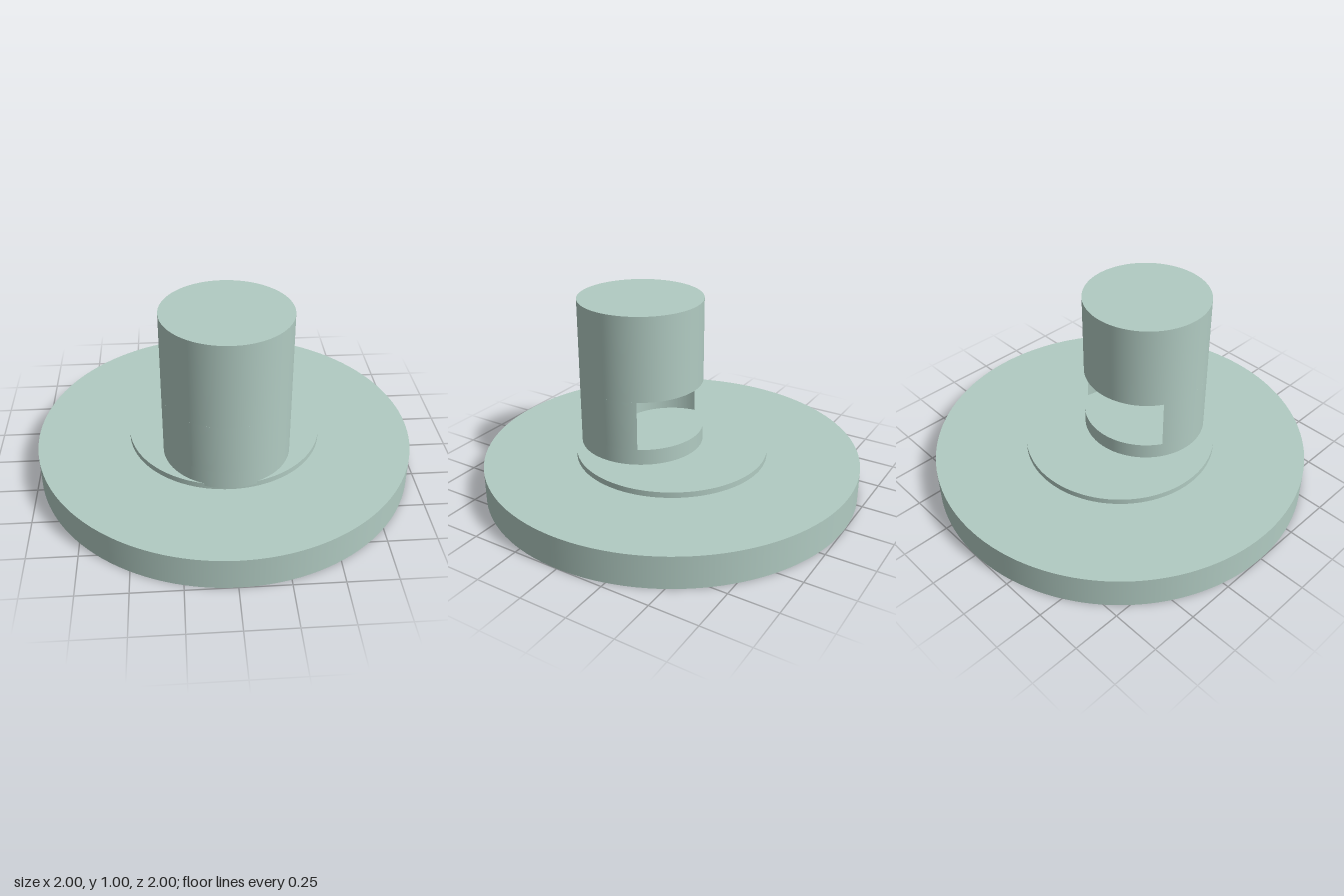
import * as THREE from 'three';
import { toCreasedNormals } from 'three/addons/utils/BufferGeometryUtils.js';

const SEGMENTS = 128;
const COLUMN_R = 0.33, COLUMN_Z = 0.19; // column stands off the main axis
const CUT_R = 0.29;                     // round pocket about the main axis
const CUT_LOW = 0.285, CUT_HIGH = 0.55;

export function createModel() {
  const group = new THREE.Group();
  const material = new THREE.MeshStandardMaterial({ color: 0xb1cbc2 });

  function add(name, geometry, y, z, parent = group) {
    const mesh = new THREE.Mesh(geometry, material);
    mesh.name = name;
    mesh.position.set(0, y, z);
    parent.add(mesh);
  }

  function addDisc(name, radius, low, high, z, parent) {
    const geometry = new THREE.CylinderGeometry(radius, radius, high - low, SEGMENTS);
    add(name, geometry, (low + high) / 2, z, parent);
  }

  // Wide base with a thin raised step
  addDisc('base', 1, 0, 0.17, 0);
  addDisc('step', 0.51, 0.17, 0.2, 0);

  // Eccentric column, solid below and above the pocket
  const column = new THREE.Group();
  column.name = 'column';
  group.add(column);
  addDisc('columnFoot', COLUMN_R, 0.185, CUT_LOW, COLUMN_Z, column);
  addDisc('columnTop', COLUMN_R, CUT_HIGH, 1, COLUMN_Z, column);

  // Crescent left where the round pocket cuts the column (shape y is -z)
  const cornerZ = (CUT_R ** 2 - COLUMN_R ** 2 + COLUMN_Z ** 2) / (2 * COLUMN_Z);
  const cornerX = Math.sqrt(CUT_R ** 2 - cornerZ ** 2);
  const outer = Math.atan2(COLUMN_Z - cornerZ, cornerX);
  const inner = Math.atan2(-cornerZ, cornerX);
  const crescent = new THREE.Shape();
  crescent.absarc(0, -COLUMN_Z, COLUMN_R, Math.PI - outer, 2 * Math.PI + outer, false);
  crescent.absarc(0, 0, CUT_R, inner, -Math.PI - inner, true);
  const wall = new THREE.ExtrudeGeometry(crescent, {
    depth: CUT_HIGH - CUT_LOW, bevelEnabled: false, curveSegments: 64,
  });
  wall.rotateX(-Math.PI / 2);
  add('pocketWall', toCreasedNormals(wall, 0.5), CUT_LOW, 0, column);

  return group;
}
